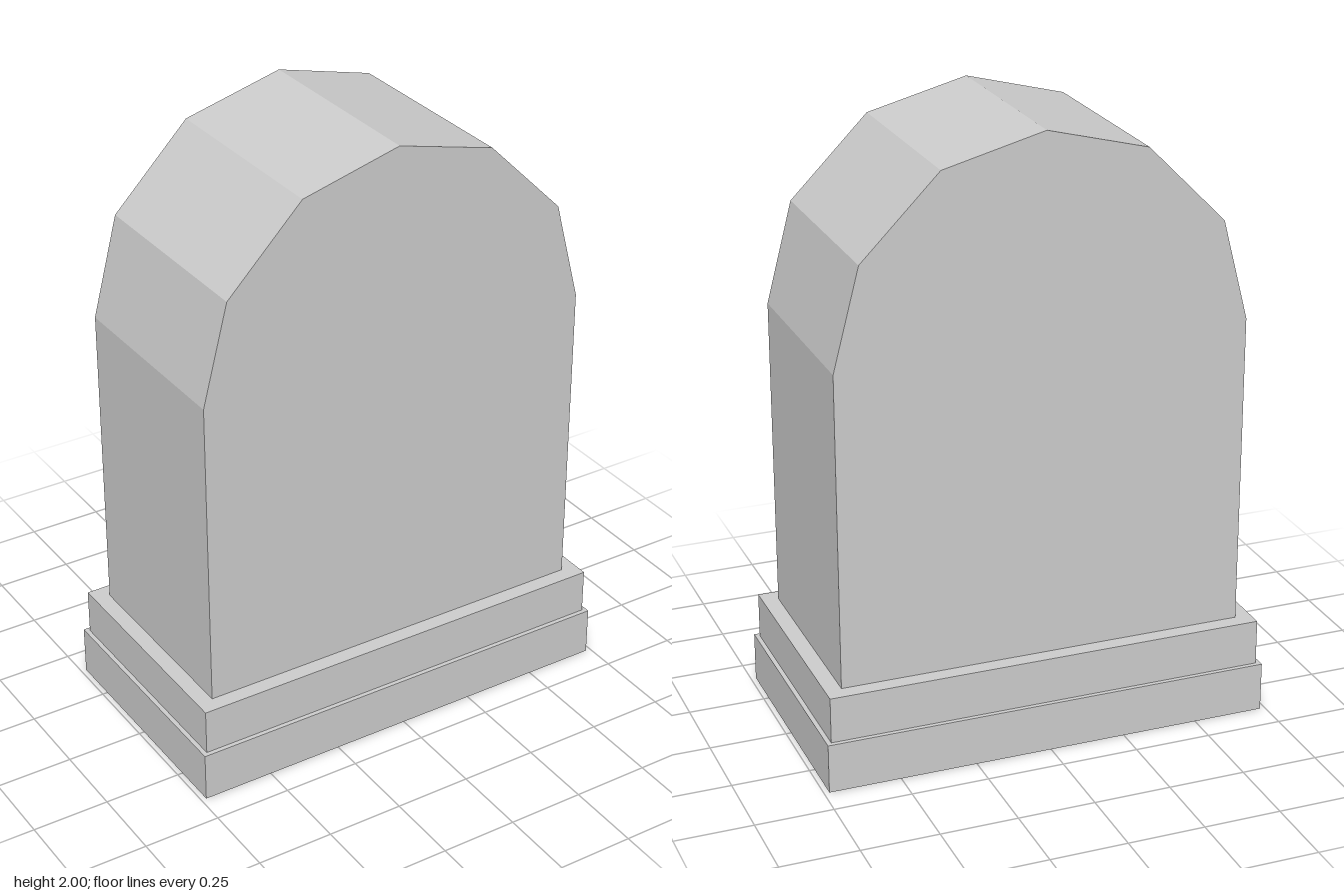
import * as THREE from 'three';

export function createModel() {
  const model = new THREE.Group();
  const stone = new THREE.MeshStandardMaterial({ color: 0xcccccc });
  stone.name = 'stone grey';

  const add = (name, geometry, x, y, z) => {
    const mesh = new THREE.Mesh(geometry, stone);
    mesh.name = name;
    mesh.position.set(x, y, z);
    model.add(mesh);
  };

  // Two-stepped plinth
  add('lowerPlinth', new THREE.BoxGeometry(1.466, 0.162, 0.8), 0, 0.081, 0);
  add('upperPlinth', new THREE.BoxGeometry(1.436, 0.15, 0.77), 0, 0.237, 0);

  // Upright slab with a faceted arched top
  const arch = [[0.665, 0.31], [0.665, 1.335], [0.58, 1.66], [0.327, 1.915]];
  const mirrored = arch.map(([x, y]) => [-x, y]).reverse();
  const outline = [...arch, [0, 2], ...mirrored].map(([x, y]) => new THREE.Vector2(x, y));
  const depth = 0.666;
  const slab = new THREE.ExtrudeGeometry(new THREE.Shape(outline), { depth, bevelEnabled: false });
  add('archedSlab', slab, 0, 0, -depth / 2);

  return model;
}
